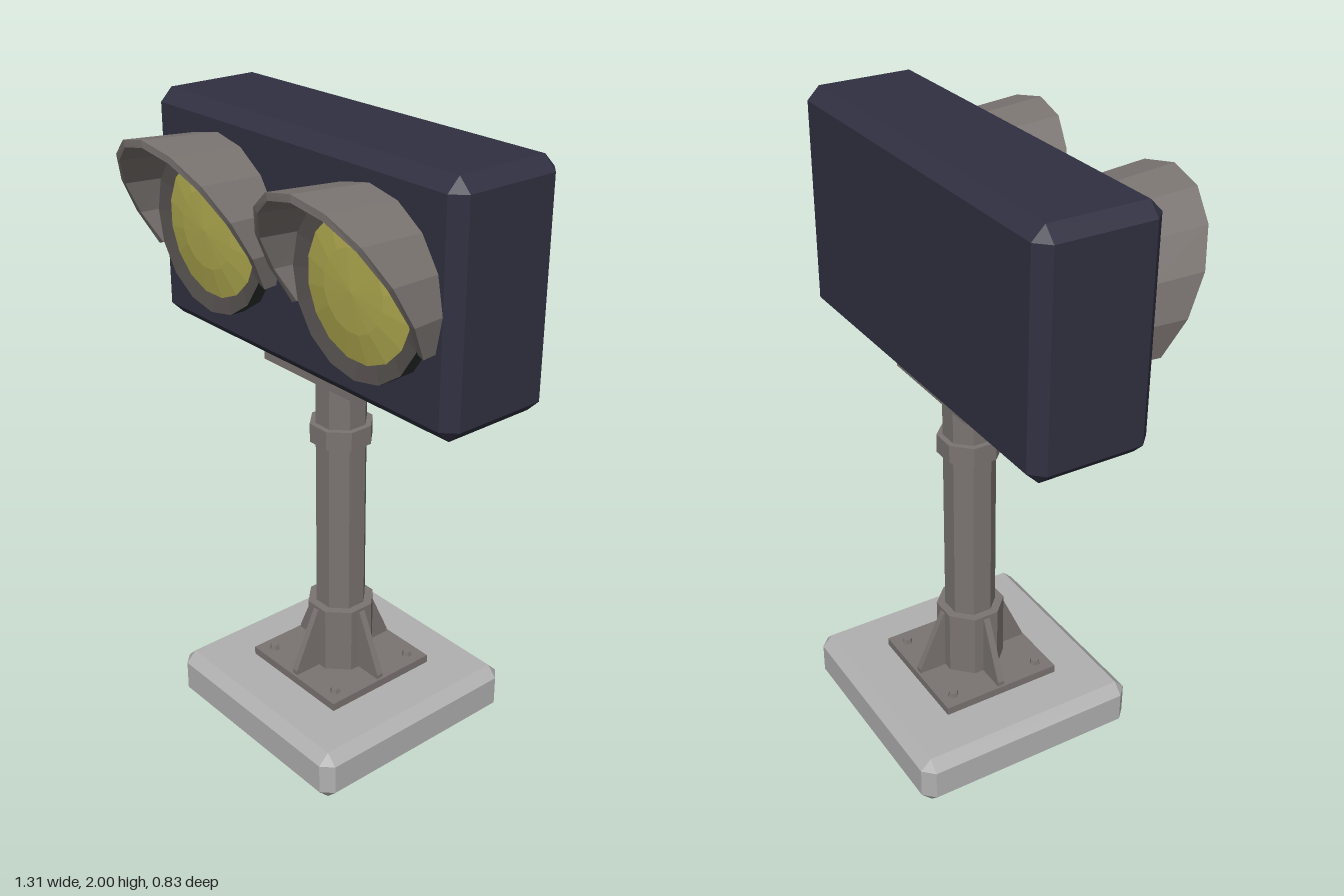
import * as THREE from 'three';
import { ConvexGeometry } from 'three/addons/geometries/ConvexGeometry.js';

const mat = (name, color) => {
  const m = new THREE.MeshStandardMaterial({ color });
  m.name = name;
  return m;
};

// Facet a geometry so every face is flat
function flat(geometry) {
  const g = geometry.index ? geometry.toNonIndexed() : geometry;
  g.computeVertexNormals();
  return g;
}

// Box with every edge and corner chamfered
function chamferBox(w, h, d, b) {
  const pts = [];
  for (const x of [-w / 2, w / 2]) for (const y of [-h / 2, h / 2]) for (const z of [-d / 2, d / 2]) {
    const ix = x - Math.sign(x) * b, iy = y - Math.sign(y) * b, iz = z - Math.sign(z) * b;
    pts.push(new THREE.Vector3(x, iy, iz), new THREE.Vector3(ix, y, iz), new THREE.Vector3(ix, iy, z));
  }
  return new ConvexGeometry(pts);
}

// Flared hood around the top of a lamp, its front cut by a slanted plane
function visorGeometry() {
  const n = 10, pos = [];
  const section = (i) => {
    const a = (i - n / 2) * Math.PI / 8;
    const front = 0.263 + 0.154 * Math.cos(a);
    const flare = 0.285 + 0.02 * (front - 0.155) / 0.262;
    return [[0.285, 0.155], [flare, front], [flare - 0.022, front], [0.26, 0.155]]
      .map(([r, z]) => [r * Math.sin(a), r * Math.cos(a), z]);
  };
  const quad = (a, b, c, d) => pos.push(...a, ...b, ...c, ...a, ...c, ...d);
  for (let i = 0; i < n; i++) {
    const p = section(i), q = section(i + 1);
    for (let k = 0; k < 4; k++) {
      const m = (k + 1) % 4;
      quad(p[k], p[m], q[m], q[k]);
    }
  }
  const s = section(0), e = section(n);
  quad(s[0], s[3], s[2], s[1]);
  quad(e[0], e[1], e[2], e[3]);
  const g = new THREE.BufferGeometry();
  g.setAttribute('position', new THREE.Float32BufferAttribute(pos, 3));
  return flat(g);
}

// Sixteen-sided turned shape whose axis points forward (+z)
function turned(points, twist = 0) {
  const g = new THREE.LatheGeometry(points.map(([r, z]) => new THREE.Vector2(r, z)), 16);
  return flat(g.rotateY(twist).rotateX(Math.PI / 2));
}

export function createModel() {
  const model = new THREE.Group();
  const housing = mat('dark navy housing', 0x313041);
  const metal = mat('warm grey metal', 0x7a7471);
  const trim = mat('dark bezel grey', 0x544f4d);
  const black = mat('black lamp rim', 0x2c3131);
  const yellow = mat('yellow lens', 0xaea84e);
  const concrete = mat('light grey concrete', 0xb0b0b0);

  const add = (name, geometry, material, x, y, z, parent = model) => {
    const mesh = new THREE.Mesh(geometry, material);
    mesh.name = name;
    mesh.position.set(x, y, z);
    parent.add(mesh);
    return mesh;
  };
  const cz = -0.033;

  // Foot and mounting plates
  add('base', chamferBox(0.77, 0.17, 0.77, 0.035), concrete, 0, 0.085, cz);
  add('basePlate', new THREE.BoxGeometry(0.41, 0.03, 0.41), metal, 0, 0.182, cz);
  add('topPlate', new THREE.BoxGeometry(0.41, 0.04, 0.27), metal, 0, 1.258, cz);

  // Octagonal pole with its sleeve and collar
  const octagon = (name, r, y0, y1) => add(name,
    flat(new THREE.CylinderGeometry(r, r, y1 - y0, 8).rotateY(Math.PI / 8)), metal, 0, (y0 + y1) / 2, cz);
  octagon('pole', 0.083, 0.19, 1.245);
  octagon('poleSleeve', 0.111, 0.19, 0.42);
  octagon('poleCollar', 0.102, 1.003, 1.065);

  // Four gussets and four bolts
  const fin = new THREE.Shape([[0.08, 0], [0.197, 0], [0.197, 0.015], [0.107, 0.213], [0.08, 0.213]]
    .map(([x, y]) => new THREE.Vector2(x, y)));
  const finGeometry = new THREE.ExtrudeGeometry(fin, { depth: 0.022, bevelEnabled: false }).translate(0, 0, -0.011);
  const boltGeometry = flat(new THREE.CylinderGeometry(0.014, 0.018, 0.016, 6));
  for (let i = 0; i < 4; i++) {
    add('gusset', finGeometry, metal, 0, 0.196, cz).rotation.y = i * Math.PI / 2;
    add('bolt', boltGeometry, metal, i % 2 ? 0.157 : -0.157, 0.204, cz + (i < 2 ? 0.157 : -0.157));
  }

  // Signal housing
  add('housing', chamferBox(1.31, 0.725, 0.385, 0.04), housing, 0, 1.6375, -0.034);

  // Pair of hooded lamps
  const rim = turned([[0.26, 0.15], [0.26, 0.205]]);
  const bezel = turned([[0.26, 0.205], [0.19, 0.188]]);
  const lens = turned([[0.21, 0.18], [0.21, 0.194], [0.12, 0.212], [0, 0.22]], Math.PI / 16);
  const visor = visorGeometry();
  for (const side of [-1, 1]) {
    const lamp = new THREE.Group();
    lamp.name = side > 0 ? 'leftLamp' : 'rightLamp';
    lamp.position.set(side * 0.33, 1.64, 0);
    add('lampRim', rim, black, 0, 0, 0, lamp);
    add('lampBezel', bezel, trim, 0, 0, 0, lamp);
    add('lens', lens, yellow, 0, 0, 0, lamp);
    add('visor', visor, metal, 0, 0, 0, lamp);
    model.add(lamp);
  }
  return model;
}
